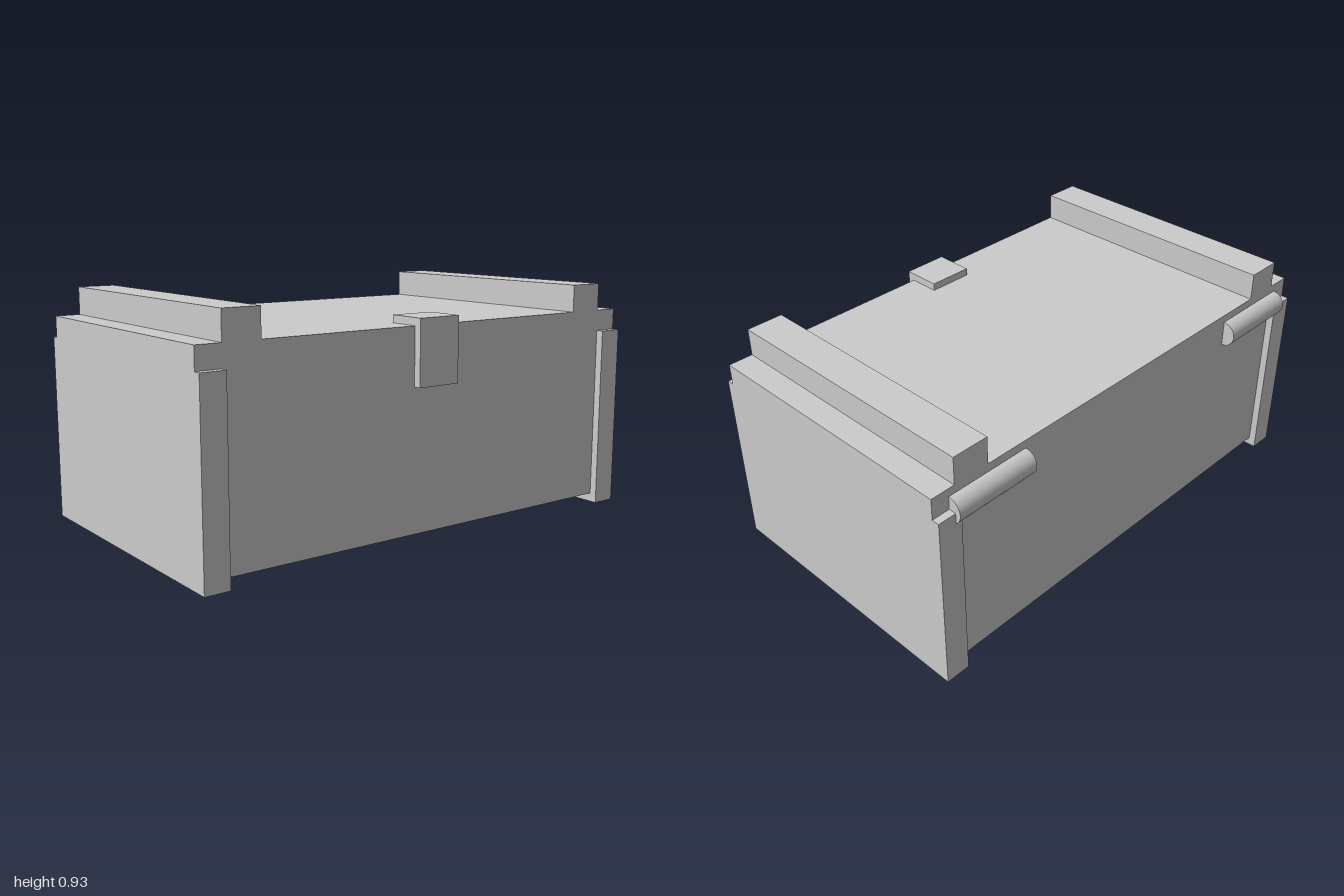
import * as THREE from 'three';

const material = new THREE.MeshStandardMaterial({ color: 0xcccccc });

function add(parent, name, geometry, x = 0, y = 0, z = 0) {
  const mesh = new THREE.Mesh(geometry, material);
  mesh.name = name;
  mesh.position.set(x, y, z);
  parent.add(mesh);
  return mesh;
}

// Box given by its minimum and maximum corners
function addBox(parent, name, [x0, y0, z0], [x1, y1, z1]) {
  return add(parent, name, new THREE.BoxGeometry(x1 - x0, y1 - y0, z1 - z0),
    (x0 + x1) / 2, (y0 + y1) / 2, (z0 + z1) / 2);
}

// Closed outline extruded by depth along +z
function extrude(points, depth) {
  const shape = new THREE.Shape(points.map(([x, y]) => new THREE.Vector2(x, y)));
  return new THREE.ExtrudeGeometry(shape, { depth, bevelEnabled: false });
}

export function createModel() {
  const model = new THREE.Group();
  model.name = 'chest';
  const back = -0.545, front = 0.567;

  // Chest body, lid overhang and the two raised lid rails share one profile
  const half = [[0.9, 0.035], [0.9, 0.735], [1, 0.735], [1, 0.82],
    [0.9, 0.82], [0.9, 0.93], [0.75, 0.93], [0.75, 0.82]];
  const mirrored = half.map(([x, y]) => [-x, y]).reverse();
  add(model, 'body', extrude([...half, ...mirrored], front - back), 0, 0, back);

  // L-shaped latch folded over the front edge of the lid
  const latch = extrude([[0.44, 0.82], [front, 0.82], [front, 0.595],
    [0.597, 0.595], [0.597, 0.85], [0.44, 0.85]], 0.186);
  latch.rotateY(-Math.PI / 2);
  add(model, 'latch', latch, 0.093);

  for (const [side, s] of [['left', 1], ['right', -1]]) {
    // End panel, standing proud at front, back and bottom
    addBox(model, side + 'EndPanel',
      [s > 0 ? 0.9 : -1, 0, -0.575], [s > 0 ? 1 : -0.9, 0.735, 0.597]);

    // Hinge barrel, half sunk in the back
    add(model, side + 'Hinge', new THREE.CylinderGeometry(0.052, 0.052, 0.355, 32),
      s * 0.749, 0.735, back).rotation.z = Math.PI / 2;
  }
  return model;
}
